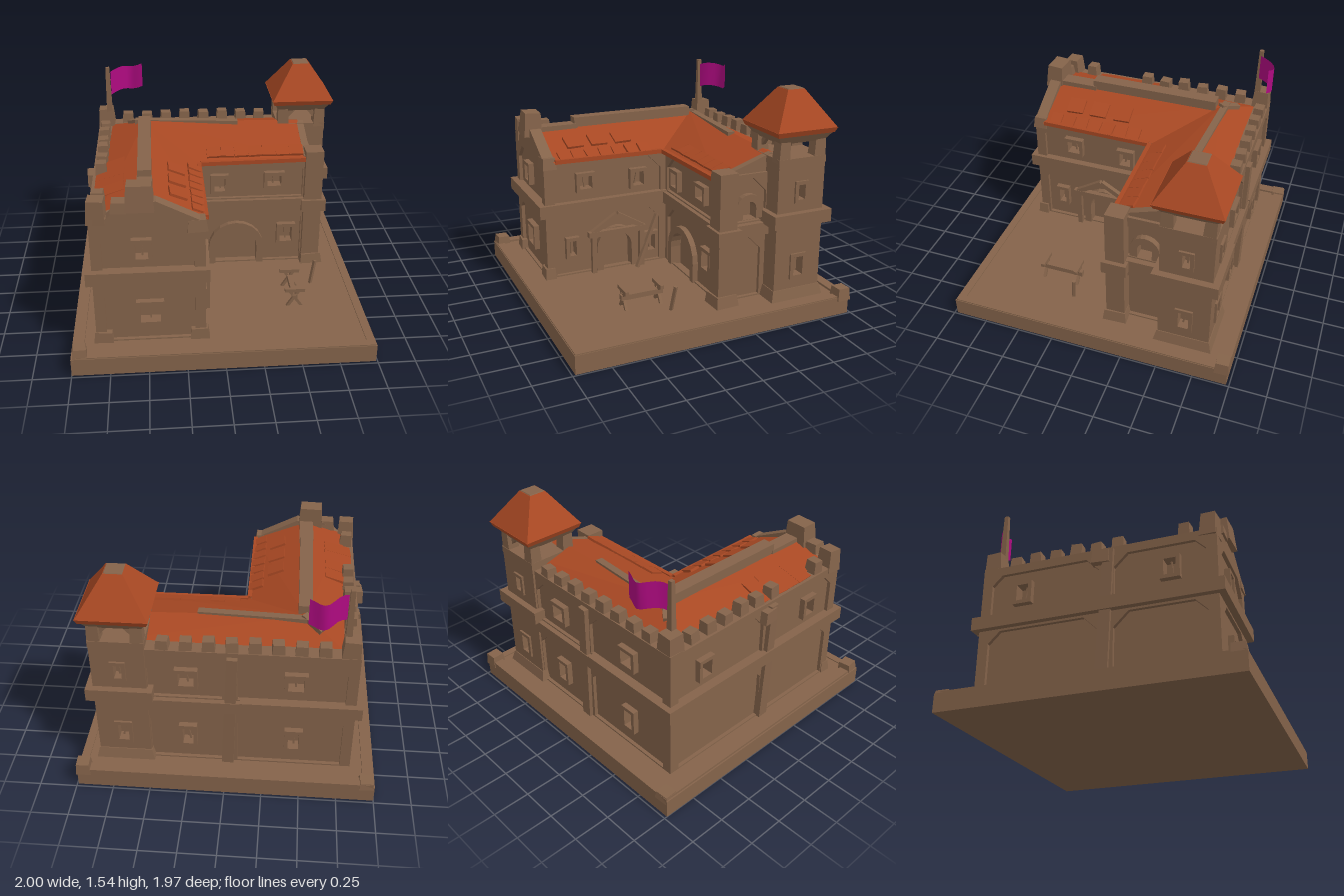
import * as THREE from 'three';

export function createModel() {
  const model = new THREE.Group();
  const mat = (name, color, side = THREE.FrontSide) => {
    const m = new THREE.MeshStandardMaterial({ color, side });
    m.name = name;
    return m;
  };
  const stone = mat('brown stone', 0x84634a);
  const tile = mat('orange tile', 0xa84823, THREE.DoubleSide);
  const cloth = mat('magenta cloth', 0xae0a80, THREE.DoubleSide);

  let seed = 7;
  const rnd = () => ((seed = (seed * 16807) % 2147483647) / 2147483647) - 0.5;

  const add = (name, geo, m = stone, parent = model) => {
    const mesh = new THREE.Mesh(geo, m);
    mesh.name = name;
    parent.add(mesh);
    return mesh;
  };
  // Box from its limits on each axis
  const box = (name, x0, x1, y0, y1, z0, z1, m = stone) => {
    const b = add(name, new THREE.BoxGeometry(x1 - x0, y1 - y0, z1 - z0), m);
    b.position.set((x0 + x1) / 2, (y0 + y1) / 2, (z0 + z1) / 2);
    return b;
  };
  // Slightly tapered, crooked block
  const block = (name, x, y0, z, w, h, d) => {
    const g = new THREE.BoxGeometry(w, h, d), p = g.attributes.position;
    for (let i = 0; i < p.count; i++) if (p.getY(i) > 0) p.setXYZ(i, p.getX(i) * 0.85, p.getY(i), p.getZ(i) * 0.85);
    g.computeVertexNormals();
    const b = add(name, g);
    b.position.set(x, y0 + h / 2, z);
    b.rotation.set(rnd() * 0.1, rnd() * 0.2, rnd() * 0.1);
    return b;
  };
  // Square frustum with half widths r0 (bottom) and r1 (top)
  const frustum = (name, x, z, y0, y1, r0, r1, m = stone) => {
    const g = new THREE.CylinderGeometry(r1 * Math.SQRT2, r0 * Math.SQRT2, y1 - y0, 4).toNonIndexed();
    g.rotateY(Math.PI / 4);
    g.computeVertexNormals();
    add(name, g, m).position.set(x, (y0 + y1) / 2, z);
  };
  // Beam between two points
  const beam = (name, a, b, w, h = w, m = stone) => {
    const A = new THREE.Vector3(...a), B = new THREE.Vector3(...b);
    const s = add(name, new THREE.BoxGeometry(w, h, A.distanceTo(B)), m);
    s.position.copy(A).add(B).multiplyScalar(0.5);
    s.lookAt(B);
  };

  // Outlines in wall coordinates: u along the wall, v up
  const poly = (C, pts) => new C(pts.map(p => new THREE.Vector2(...p)));
  const rect = (C, a, b, c, d) => poly(C, [[a, c], [b, c], [b, d], [a, d]]);
  const opening = (C, o, grow = 0) => {
    const r = o.w / 2 + grow, y0 = o.y - o.h / 2 - (o.arch ? 0 : grow), y1 = o.y + o.h / 2 + grow;
    if (!o.arch) return rect(C, o.u - r, o.u + r, y0, y1);
    const s = new C();
    s.moveTo(o.u - r, y0);
    s.lineTo(o.u + r, y0);
    s.lineTo(o.u + r, y1 - r);
    s.absarc(o.u, y1 - r, r, 0, Math.PI, false);
    s.lineTo(o.u - r, y0);
    return s;
  };
  const turns = { '+z': 0, '+x': Math.PI / 2, '-z': Math.PI, '-x': -Math.PI / 2 };
  // A wall bay: pierced sheet, chamfered border and window frames.
  // at = distance of the outer face from the origin; openings are [world coordinate, y, w, h, arch]
  const bay = (name, face, at, a, b, y0, y1, openings = [], border = 0.07) => {
    const g = new THREE.Group();
    g.name = name;
    g.rotation.y = turns[face];
    model.add(g);
    const sign = face === '+z' || face === '-x' ? 1 : -1;
    const [u0, u1] = [a * sign, b * sign].sort((p, q) => p - q);
    const layer = (label, shape, z, depth) =>
      add(label, new THREE.ExtrudeGeometry(shape, { depth, bevelEnabled: false, curveSegments: 5 }), stone, g).position.z = z;
    const os = openings.map(([u, y, w, h, arch]) => ({ u: u * sign, y, w, h, arch }));
    const sheet = rect(THREE.Shape, u0, u1, y0, y1);
    os.forEach(o => sheet.holes.push(opening(THREE.Path, o)));
    layer('wall', sheet, at - 0.07, border ? 0.045 : 0.07);
    if (border) {
      const f = rect(THREE.Shape, u0, u1, y0, y1), k = 0.1, t = 0.03;
      const l = u0 + border, r = u1 - border, bot = y0 + 0.015, top = y1 - t;
      f.holes.push(poly(THREE.Path, [[l, bot], [r, bot], [r, top - k], [r - k, top], [l + k, top], [l, top - k]]));
      layer('wallBorder', f, at - 0.025, 0.025);
    }
    os.forEach(o => {
      const f = opening(THREE.Shape, o, o.arch ? 0.05 : 0.025);
      f.holes.push(opening(THREE.Path, o));
      layer('openingFrame', f, at - 0.045, 0.06);
      if (o.arch) return;
      const bar = add('windowBar', new THREE.BoxGeometry(0.012, o.h, 0.012), stone, g);
      bar.position.set(o.u, o.y, at - 0.04);
      bar.rotation.z = rnd() * 0.5;
    });
  };

  // Base with low rim and corner posts
  box('base', -1, 0.99, 0, 0.125, -0.98, 0.98);
  box('leftRim', -0.99, -0.92, 0.1, 0.14, -0.98, 0.97);
  box('backRim', -0.99, 0.98, 0.1, 0.14, -0.98, -0.91);
  box('rightRim', 0.93, 0.985, 0.1, 0.132, -0.97, 0.97);
  box('frontRim', -0.98, 0.98, 0.1, 0.132, 0.92, 0.975);
  [[-0.945, 0.925], [0.95, -0.94], [-0.945, -0.935]].forEach(([x, z], i) => block('cornerPost', x, 0.1, z, 0.1, i < 2 ? 0.085 : 0.05, 0.1));

  // Wing cores, storey bands and plinth
  box('leftWingCore', -0.775, -0.185, 0.12, 0.98, -0.735, 0.735);
  box('backWingCore', -0.775, 0.655, 0.12, 0.98, -0.735, -0.185);
  box('leftWingBand', -0.88, -0.095, 0.585, 0.675, -0.84, 0.845);
  box('backWingBand', -0.8, 0.76, 0.58, 0.665, -0.835, -0.09);

  // Wall bays
  bay('frontLower', '+z', 0.8, -0.84, -0.12, 0.12, 0.6, [[-0.48, 0.34, 0.13, 0.13]]);
  bay('frontUpper', '+z', 0.8, -0.84, -0.12, 0.66, 1, [[-0.52, 0.81, 0.08, 0.11]]);
  bay('courtLower', '+z', -0.12, -0.12, 0.72, 0.12, 0.6, [[0.165, 0.27, 0.31, 0.3, true], [0.54, 0.36, 0.09, 0.12]], 0.04);
  bay('courtUpper', '+z', -0.12, -0.12, 0.72, 0.66, 0.98, [[0.04, 0.79, 0.08, 0.1], [0.44, 0.81, 0.1, 0.08]], 0.03);
  bay('innerLower', '+x', -0.12, 0.8, -0.12, 0.12, 0.6, [[0.61, 0.33, 0.05, 0.11], [0.27, 0.26, 0.22, 0.28, true], [0, 0.28, 0.06, 0.12]], 0.05);
  bay('innerUpper', '+x', -0.12, 0.8, -0.12, 0.66, 0.98, [[0.5, 0.81, 0.09, 0.09], [0.1, 0.79, 0.08, 0.1]], 0.04);
  bay('endLower', '+x', 0.72, -0.12, -0.5, 0.12, 0.6);
  bay('endUpper', '+x', 0.72, -0.12, -0.5, 0.66, 1, [[-0.33, 0.755, 0.1, 0.12, true]], 0.04);
  [[-0.84, -0.03, -0.45], [-0.03, 0.55, 0.25]].forEach(([a, b, w]) => {
    bay('backLower', '-z', 0.8, a, b, 0.12, 0.6, [[w, 0.34, 0.07, 0.13]], 0.05);
    bay('backUpper', '-z', 0.8, a, b, 0.66, 1.03, [[w, 0.83, 0.1, 0.1]], 0.05);
  });
  [[-0.8, 0.08, -0.5], [0.08, 0.8, 0.5]].forEach(([a, b, w]) => {
    bay('leftLower', '-x', 0.84, a, b, 0.12, 0.6, [], 0.05);
    bay('leftUpper', '-x', 0.84, a, b, 0.66, 1.02, [[w, 0.82, 0.08, 0.11]], 0.05);
  });

  // Pilasters, feet and brackets
  block('leftPilaster', -0.84, 0.12, 0.08, 0.06, 0.9, 0.08);
  block('leftBracket', -0.855, 0.92, 0.05, 0.07, 0.09, 0.12);
  block('backPilaster', -0.03, 0.12, -0.805, 0.08, 0.9, 0.05);
  box('courtPilaster', 0.66, 0.79, 0.12, 1.04, -0.21, -0.08);
  box('pilasterBand', 0.64, 0.82, 0.57, 0.66, -0.23, -0.06);
  for (const x of [-0.79, -0.16]) block('frontFoot', x, 0.11, 0.78, 0.13, 0.09, 0.08);
  block('pilasterFoot', 0.73, 0.11, -0.14, 0.17, 0.09, 0.17);

  // Front gable and end gable
  const gable = (name, pts, depth) => add(name, new THREE.ExtrudeGeometry(poly(THREE.Shape, pts), { depth, bevelEnabled: false }));
  gable('frontGable', [[-0.83, 0.97], [-0.13, 0.97], [-0.13, 1], [-0.42, 1.15], [-0.62, 1.14], [-0.73, 1.04], [-0.83, 1.04]], 0.08).position.z = 0.72;
  const end = gable('endGable', [[0.12, 0.97], [0.7, 0.97], [0.7, 1.04], [0.5, 1.12], [0.12, 0.99]], 0.05);
  end.rotation.y = Math.PI / 2;
  end.position.x = 0.65;
  block('gableBlock', -0.52, 1.09, 0.765, 0.18, 0.17, 0.13);
  block('gableStep', -0.65, 1.08, 0.765, 0.1, 0.07, 0.1);
  block('frontCornerMerlon', -0.79, 1, 0.75, 0.12, 0.16, 0.11);
  block('gableEndBlock', -0.17, 0.93, 0.76, 0.13, 0.08, 0.1);

  // Parapets and merlons
  box('backParapet', -0.84, 0.55, 0.98, 1.05, -0.8, -0.7);
  box('leftParapet', -0.84, -0.74, 0.98, 1.04, -0.8, 0.8);
  for (let i = 0; i < 8; i++) block('backMerlon', -0.62 + i * 0.145, 1.03, -0.755, 0.085, 0.09 + rnd() * 0.02, 0.08);
  for (let i = 0; i < 6; i++) block('leftMerlon', -0.785, 1.02, -0.58 + i * 0.145, 0.08, 0.1 + rnd() * 0.02, 0.085);
  block('leftMerlon', -0.785, 1.02, 0.59, 0.09, 0.11, 0.08);
  block('cornerMerlon', -0.78, 1.02, -0.74, 0.12, 0.15, 0.12);

  // L-shaped pitched roof
  const R = [-0.49, 1.15, -0.5], V = [-0.1, 0.97, -0.08], O = [-0.74, 1.04, -0.71];
  const Rl = [-0.49, 1.14, 0.73], Il = [-0.1, 0.98, 0.73], Ol = [-0.77, 1.05, 0.73];
  const Rr = [0.66, 1.12, -0.5], Er = [0.69, 0.98, -0.1], Or = [0.66, 1.06, -0.71];
  const quads = [[R, Rl, Il, V], [R, O, Ol, Rl], [R, V, Er, Rr], [R, Rr, Or, O]];
  const roofGeo = new THREE.BufferGeometry();
  roofGeo.setAttribute('position', new THREE.Float32BufferAttribute(quads.flatMap(([a, b, c, d]) => [a, b, c, a, c, d]).flat(2), 3));
  roofGeo.computeVertexNormals();
  add('roof', roofGeo, tile);
  // Eave edges and loose tiles
  beam('innerEave', [-0.11, 0.975, -0.08], [-0.11, 0.985, 0.72], 0.03, 0.03, tile);
  beam('courtEave', [-0.1, 0.975, -0.09], [0.66, 0.98, -0.1], 0.03, 0.03, tile);
  const slope = Math.atan2(0.17, 0.39);
  const looseTile = (x, y, z, w, d, rz, rx) => {
    const t = add('looseTile', new THREE.BoxGeometry(w, 0.018, d), tile);
    t.position.set(x, y, z);
    t.rotation.set(rx + rnd() * 0.06, rnd() * 0.15, rz + rnd() * 0.06);
  };
  for (let i = 0; i < 7; i++) {
    looseTile(-0.15, 1.005, 0.04 + i * 0.1, 0.1, 0.08, -slope, 0);
    if (i % 2) looseTile(-0.28, 1.065, 0.08 + i * 0.09, 0.12, 0.12, -slope, 0);
    looseTile(0 + i * 0.1, 1.02, -0.18, 0.1, 0.1, 0, 0.36);
  }
  for (let i = 0; i < 4; i++) looseTile(-0.72, 1.065, 0.1 + i * 0.12, 0.2, 0.13, 0.3, 0);

  // Ridge beams
  beam('leftRidge', [-0.49, 1.165, -0.47], [-0.49, 1.165, 0.46], 0.09, 0.07);
  beam('leftRidgeEnd', [-0.49, 1.13, 0.44], [-0.49, 1.13, 0.72], 0.1, 0.05);
  beam('backRidge', [-0.56, 1.13, -0.53], [0.2, 1.12, -0.48], 0.05, 0.05);
  beam('hipBeam', [-0.6, 1.1, -0.6], [-0.48, 1.15, -0.5], 0.05, 0.04);

  // Corner tower
  const tx = 0.68, tz = -0.64;
  frustum('towerFoot', tx, tz, 0.12, 0.2, 0.2, 0.18);
  frustum('towerCore', tx, tz, 0.12, 1.09, 0.115, 0.115);
  const openingsX = [[tz, 0.36, 0.07, 0.13], [tz, 0.88, 0.05, 0.1]];
  const openingsZ = [[tx, 0.36, 0.07, 0.13], [tx, 0.88, 0.05, 0.1]];
  bay('towerRight', '+x', tx + 0.175, tz - 0.175, tz + 0.175, 0.12, 1.1, openingsX, 0);
  bay('towerBack', '-z', -tz + 0.175, tx - 0.175, tx + 0.175, 0.12, 1.1, openingsZ, 0);
  bay('towerFront', '+z', tz + 0.175, tx - 0.175, tx + 0.175, 0.12, 1.1, [], 0);
  bay('towerLeft', '-x', -tx + 0.175, tz - 0.175, tz + 0.175, 0.12, 1.1, [], 0);
  box('towerBand', 0.465, 0.9, 0.655, 0.745, -0.86, -0.425);
  frustum('belfryFloor', tx, tz, 1.06, 1.11, 0.178, 0.178);
  for (const sx of [-1, 1]) for (const sz of [-1, 1]) {
    block('belfryPost', tx + sx * 0.135, 1.08, tz + sz * 0.135, 0.085, 0.16, 0.085);
    beam('belfryBrace', [tx + sx * 0.12, 1.14, tz + sz * 0.13], [tx + sx * 0.04, 1.23, tz + sz * 0.13], 0.03);
  }
  frustum('eaveCorbel', tx, tz, 1.21, 1.27, 0.165, 0.205);
  frustum('towerEave', tx, tz, 1.265, 1.3, 0.21, 0.225, tile);
  frustum('towerRoof', tx, tz, 1.3, 1.535, 0.222, 0.062, tile);
  frustum('towerCap', tx, tz, 1.533, 1.54, 0.06, 0.055);

  // Flag and pole
  frustum('flagPole', -0.755, -0.71, 1.0, 1.5, 0.024, 0.014);
  const flag = new THREE.PlaneGeometry(1, 0.18, 8, 1), fp = flag.attributes.position;
  for (let i = 0; i < fp.count; i++) {
    const t = fp.getX(i) + 0.5;
    fp.setXYZ(i, -0.735 + 0.235 * t, fp.getY(i) + 1.375 + 0.02 * t + 0.012 * Math.sin(t * 7), -0.71 - 0.12 * Math.sin(t * 2.1) + 0.012 * Math.sin(t * 9));
  }
  flag.computeVertexNormals();
  add('flag', flag, cloth);

  // Gabled canopy and leaning timbers by the inner door
  for (const z of [0.09, 0.46]) beam('canopyPost', [-0.09, 0.12, z], [-0.09, 0.42, z], 0.035);
  beam('canopyLintel', [-0.09, 0.42, 0.06], [-0.09, 0.42, 0.5], 0.04);
  beam('canopyRafter', [-0.09, 0.43, 0.47], [-0.09, 0.55, 0.28], 0.035);
  beam('canopyRafter', [-0.09, 0.55, 0.28], [-0.09, 0.43, 0.08], 0.035);
  beam('leaningTimber', [-0.05, 0.125, 0.14], [-0.1, 0.5, -0.04], 0.025);

  // Sawhorse and upright stake in the yard
  for (const z of [0.23, 0.48]) {
    beam('sawhorseLeg', [0.47, 0.12, z], [0.55, 0.25, z], 0.02);
    beam('sawhorseLeg', [0.57, 0.12, z], [0.48, 0.25, z], 0.02);
    beam('sawhorseBar', [0.45, 0.25, z], [0.59, 0.25, z], 0.025);
  }
  beam('sawhorseRail', [0.52, 0.2, 0.2], [0.52, 0.2, 0.5], 0.035);
  beam('stake', [0.68, 0.12, 0.21], [0.71, 0.3, 0.19], 0.02);

  return model;
}
